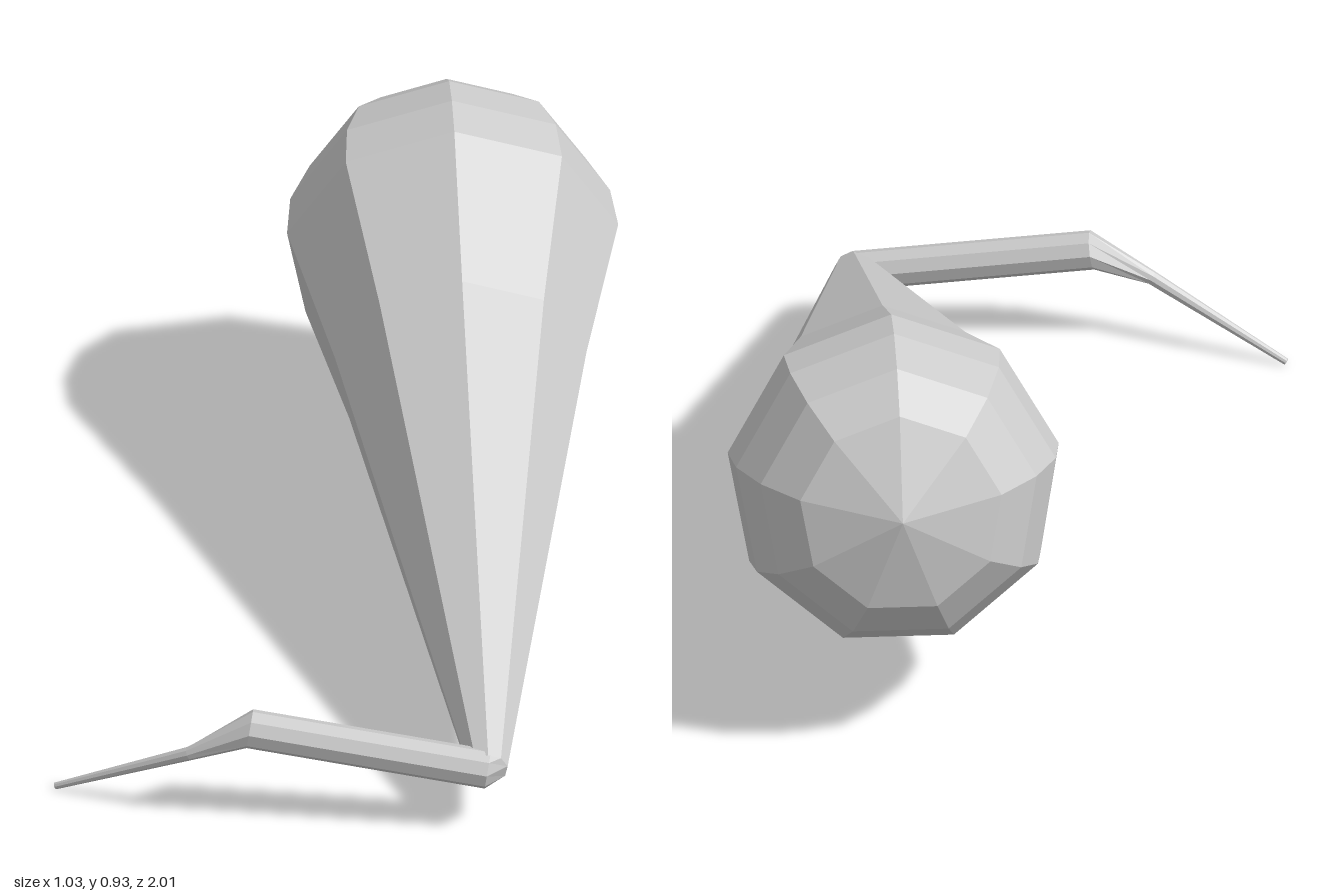
import * as THREE from 'three';

const SIDES = 9;
const V = (x, y, z) => new THREE.Vector3(x, y, z);

// Corners of one nine-sided ring, first corner pointing up, wound about dir
function ring(center, dir, radius) {
  const d = dir.clone().normalize();
  const up = V(0, 1, 0).addScaledVector(d, -d.y).normalize();
  const side = d.clone().cross(up);
  return Array.from({ length: SIDES }, (_, i) => {
    const t = (i / SIDES) * Math.PI * 2;
    return center.clone()
      .addScaledVector(up, Math.cos(t) * radius)
      .addScaledVector(side, Math.sin(t) * radius);
  });
}

// Faceted skin through a list of rings
function loft(name, rings, material) {
  const pts = [];
  const tri = (a, b, c) => {
    if (a.distanceTo(b) > 1e-6 && b.distanceTo(c) > 1e-6 && c.distanceTo(a) > 1e-6) pts.push(a, b, c);
  };
  for (let k = 0; k < rings.length - 1; k++) {
    for (let i = 0; i < SIDES; i++) {
      const j = (i + 1) % SIDES;
      const [a, b, c, d] = [rings[k][i], rings[k][j], rings[k + 1][j], rings[k + 1][i]];
      tri(a, b, c);
      tri(a, c, d);
    }
  }
  const geometry = new THREE.BufferGeometry().setFromPoints(pts);
  geometry.computeVertexNormals();
  const mesh = new THREE.Mesh(geometry, material);
  mesh.name = name;
  return mesh;
}

export function createModel() {
  const material = new THREE.MeshStandardMaterial({ color: 0xcccccc, flatShading: true });
  const group = new THREE.Group();
  group.name = 'jointedLimb';

  const elbow = V(0.467, 0.153, 0.862);
  const knee = V(-0.062, 0.232, 0.949);
  const axis = V(-0.284, 0.247, -0.926).normalize();
  const inward = axis.clone().negate();
  const stemDir = knee.clone().sub(elbow);

  // Bulb: rounded far end narrowing to the elbow; [distance from elbow, radius]
  const profile = [
    [2.01, 0], [1.94, 0.23], [1.85, 0.315], [1.74, 0.365],
    [1.63, 0.378], [1.25, 0.287], [0, 0.045],
  ];
  const bulb = profile.map(([t, r]) => ring(elbow.clone().addScaledVector(axis, t), inward, r));
  group.add(loft('bulb', bulb, material));

  // Elbow bevel and the straight middle segment
  const stemStart = ring(elbow, stemDir, 0.045);
  const stemEnd = ring(knee, stemDir, 0.045);
  group.add(loft('elbow', [bulb[bulb.length - 1], stemStart], material));
  group.add(loft('middleSegment', [stemStart, stemEnd], material));

  // Thin end segment with a closed point
  const neck = V(-0.195, 0.163, 0.975);
  const tip = V(-0.514, 0.009, 0.94);
  const tipDir = tip.clone().sub(neck);
  group.add(loft('endSegment', [
    stemEnd,
    ring(neck, tipDir, 0.016),
    ring(tip, tipDir, 0.008),
    ring(tip, tipDir, 0),
  ], material));

  return group;
}
